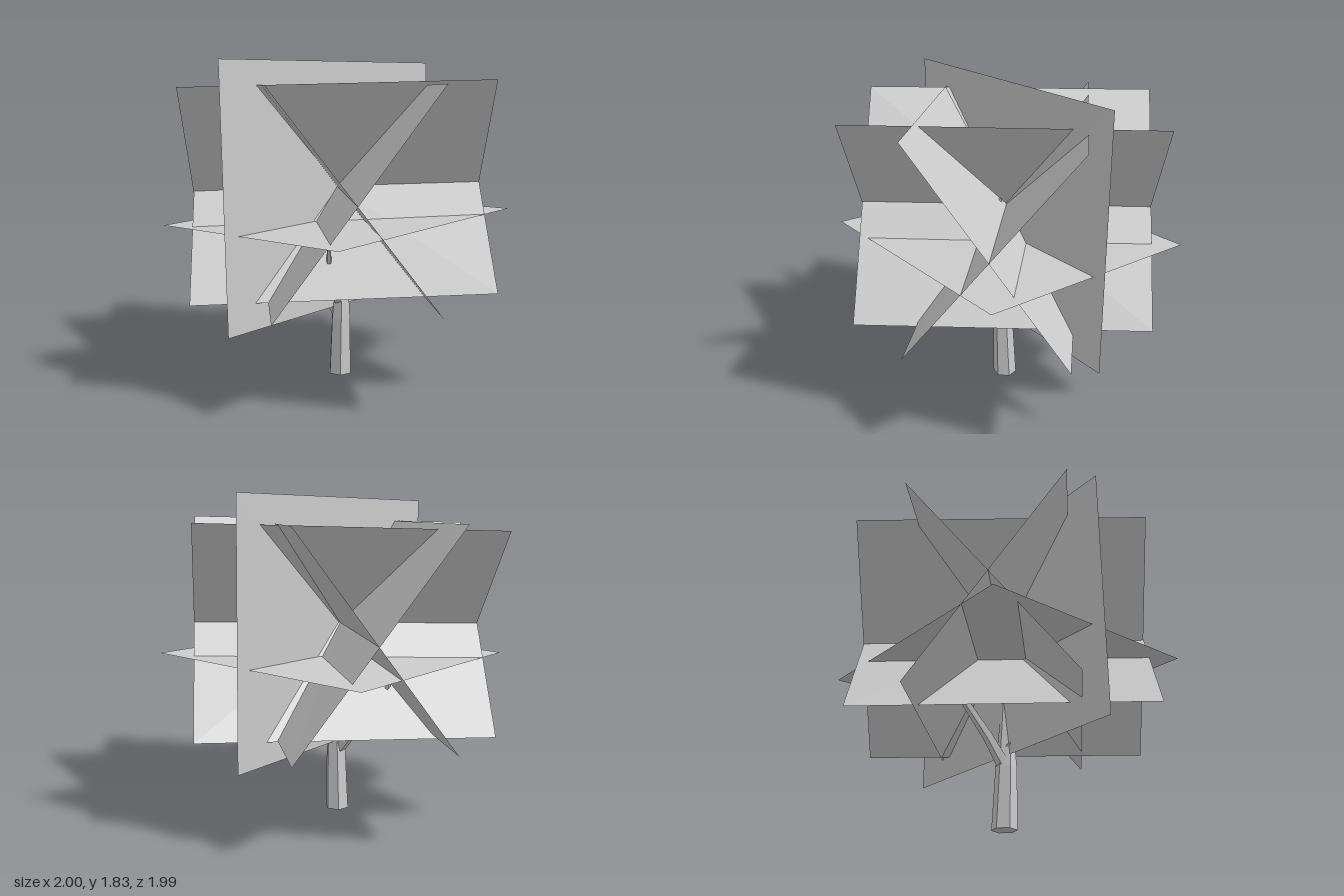
import * as THREE from 'three';

const material = new THREE.MeshStandardMaterial({ color: 0xcccccc, flatShading: true, side: THREE.DoubleSide });

// Flat foliage card from four corners in order
function card(name, corners) {
  const g = new THREE.BufferGeometry();
  g.setAttribute('position', new THREE.Float32BufferAttribute(corners.flat(), 3));
  g.setIndex([0, 1, 2, 0, 2, 3]);
  g.computeVertexNormals();
  const mesh = new THREE.Mesh(g, material);
  mesh.name = name;
  return mesh;
}

// Tapered, faceted limb; each station is [x, y, z, radius]
function limb(name, stations, sides) {
  const pts = stations.map(([x, y, z]) => new THREE.Vector3(x, y, z));
  const pos = [], index = [], last = pts.length - 1;
  pts.forEach((p, i) => {
    const t = pts[Math.min(i + 1, last)].clone().sub(pts[Math.max(i - 1, 0)]).normalize();
    if (i === 0 && p.y === 0) t.set(0, 1, 0); // level foot on the ground
    const u = new THREE.Vector3().crossVectors(t, new THREE.Vector3(1, 0, 0)).normalize();
    const v = new THREE.Vector3().crossVectors(t, u);
    for (let j = 0; j < sides; j++) {
      const a = (j / sides) * Math.PI * 2, r = stations[i][3];
      const q = p.clone().addScaledVector(u, Math.cos(a) * r).addScaledVector(v, Math.sin(a) * r);
      pos.push(q.x, q.y, q.z);
      if (i < last) {
        const k = (j + 1) % sides, b = i * sides, c = b + sides;
        index.push(b + j, b + k, c + k, b + j, c + k, c + j);
      }
    }
  });
  // End caps
  for (let j = 1; j < sides - 1; j++) {
    const e = last * sides;
    index.push(0, j + 1, j, e, e + j, e + j + 1);
  }
  const g = new THREE.BufferGeometry();
  g.setAttribute('position', new THREE.Float32BufferAttribute(pos, 3));
  g.setIndex(index);
  g.computeVertexNormals();
  const mesh = new THREE.Mesh(g, material);
  mesh.name = name;
  return mesh;
}

export function createModel() {
  const tree = new THREE.Group();
  tree.name = 'tree';

  // Trunk and its two branches
  const wood = new THREE.Group();
  wood.name = 'wood';
  wood.add(
    limb('trunk', [
      [0.005, 0, 0, 0.07], [0.01, 0.34, 0.01, 0.06], [0.015, 0.56, 0.01, 0.042],
      [0.035, 0.85, 0.015, 0.03], [0.05, 1.17, 0.025, 0.012],
    ], 6),
    limb('frontBranch', [
      [0.0, 0.45, 0.02, 0.035], [-0.04, 0.53, 0.12, 0.028],
      [-0.06, 0.62, 0.24, 0.022], [-0.065, 0.82, 0.33, 0.01],
    ], 5),
    limb('backBranch', [
      [0.0, 0.36, 0.0, 0.04], [-0.09, 0.5, -0.08, 0.03],
      [-0.22, 0.69, -0.21, 0.022], [-0.27, 0.85, -0.25, 0.01],
    ], 5),
  );

  // Crossed foliage cards: level, upright, and two pairs of slanted ones
  const foliage = new THREE.Group();
  foliage.name = 'foliage';
  foliage.add(
    card('levelFoliage', [
      [-1, 0.903, 0.06], [-0.03, 0.943, 0.99], [1, 0.972, -0.07], [0.025, 0.935, -1],
    ]),
    card('uprightFoliage', [
      [-0.585, 0.4, 0.575], [0.59, 0.42, -0.58], [0.565, 1.83, -0.58], [-0.6, 1.81, 0.575],
    ]),
    card('rightSlantFoliage', [
      [-0.36, 1.685, 0.85], [-0.52, 1.68, -0.79], [0.335, 0.545, -0.86], [0.495, 0.555, 0.78],
    ]),
    card('leftSlantFoliage', [
      [0.485, 1.69, 0.78], [0.325, 1.675, -0.875], [-0.51, 0.535, -0.77], [-0.345, 0.555, 0.855],
    ]),
    card('backSlantFoliage', [
      [-0.86, 1.64, -0.425], [0.785, 1.685, -0.475], [0.84, 0.585, 0.415], [-0.8, 0.54, 0.45],
    ]),
    card('frontSlantFoliage', [
      [-0.835, 1.675, 0.42], [0.81, 1.715, 0.375], [0.815, 0.555, -0.44], [-0.83, 0.51, -0.395],
    ]),
  );

  tree.add(wood, foliage);
  return tree;
}
